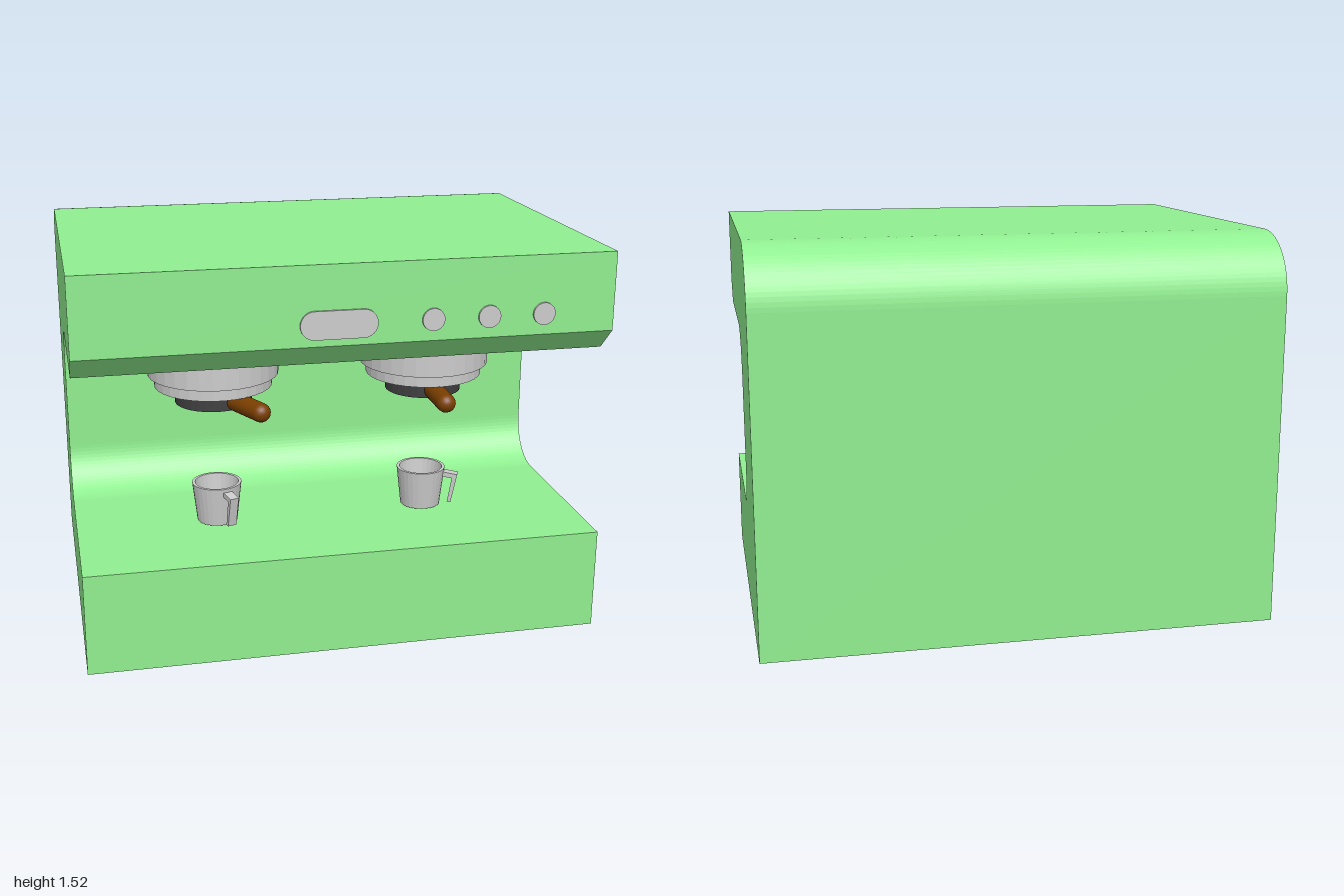
import * as THREE from 'three';

const mat = (color, extra = {}) => new THREE.MeshStandardMaterial({ color, ...extra });
const green = mat(0x90ee90);
const grey = mat(0xcccccc);
const greyFlat = mat(0xcccccc, { flatShading: true });
const dark = mat(0x404040, { flatShading: true });
const wood = mat(0x7b3f00);

function add(parent, name, geometry, material, x = 0, y = 0, z = 0) {
  const mesh = new THREE.Mesh(geometry, material);
  mesh.name = name;
  mesh.position.set(x, y, z);
  parent.add(mesh);
  return mesh;
}

// C-shaped side profile (z, y) extruded across the full width
function bodyGeometry() {
  const s = new THREE.Shape();
  s.moveTo(0.755, 0);
  s.lineTo(0.755, 0.4);
  s.lineTo(0.02, 0.4);
  s.absarc(0.02, 0.58, 0.18, -Math.PI / 2, -Math.PI, true);
  s.lineTo(-0.16, 0.95);
  s.absarc(0.02, 0.95, 0.18, Math.PI, Math.PI / 2, true);
  s.lineTo(0.66, 1.13);
  s.lineTo(0.755, 1.22);
  s.lineTo(0.755, 1.52);
  s.lineTo(-0.53, 1.52);
  s.absarc(-0.53, 1.29, 0.23, Math.PI / 2, Math.PI, false);
  s.lineTo(-0.76, 0);
  s.closePath();
  const g = new THREE.ExtrudeGeometry(s, { depth: 2, bevelEnabled: false, curveSegments: 10 });
  return g.rotateY(-Math.PI / 2).translate(1, 0, 0);
}

// Pill outline; a zero half length gives a round button
function buttonGeometry(halfLength, r) {
  const s = new THREE.Shape();
  s.absarc(halfLength, 0, r, -Math.PI / 2, Math.PI / 2, false);
  s.absarc(-halfLength, 0, r, Math.PI / 2, Math.PI * 1.5, false);
  return new THREE.ExtrudeGeometry(s, { depth: 0.02, bevelEnabled: false, curveSegments: 16 });
}

// Brew head with a filter holder whose handle swings by the given angle
function brewHead(name, x, angle) {
  const g = new THREE.Group();
  g.name = name;
  g.position.set(x, 0, 0.325);
  g.rotation.y = angle;
  add(g, 'headCollar', new THREE.CylinderGeometry(0.253, 0.253, 0.11, 32), greyFlat, 0, 1.075, 0);
  add(g, 'headRing', new THREE.CylinderGeometry(0.228, 0.228, 0.05, 32), greyFlat, 0, 0.998, 0);
  add(g, 'filterHolder', new THREE.CylinderGeometry(0.15, 0.15, 0.07, 32), dark, 0, 0.94, 0);
  const grip = new THREE.CapsuleGeometry(0.037, 0.16, 6, 16).rotateX(Math.PI / 2);
  add(g, 'filterHandle', grip, wood, 0, 0.938, 0.237);
  return g;
}

// Hollow tapered cup on a small foot, with a bent strip handle towards +z
function cup(name, x, angle) {
  const g = new THREE.Group();
  g.name = name;
  g.position.set(x, 0.4, 0.333);
  g.rotation.y = angle;
  const wall = [[0, 0.01], [0.08, 0.01], [0.098, 0.168], [0.086, 0.168], [0.07, 0.03], [0, 0.03]]
    .map(([r, y]) => new THREE.Vector2(r, y));
  add(g, 'cupBowl', new THREE.LatheGeometry(wall, 28),
    mat(0xcccccc, { flatShading: true, side: THREE.DoubleSide }));
  add(g, 'cupFoot', new THREE.CylinderGeometry(0.05, 0.05, 0.014, 24), grey, 0, 0.006, 0);
  const strip = new THREE.Shape();
  [[0.086, 0.135], [0.13, 0.128], [0.113, 0.024], [0.128, 0.024], [0.152, 0.145], [0.09, 0.154]]
    .forEach(([r, y], i) => (i ? strip.lineTo(r, y) : strip.moveTo(r, y)));
  strip.closePath();
  const handle = new THREE.ExtrudeGeometry(strip, { depth: 0.036, bevelEnabled: false });
  add(g, 'cupHandle', handle.rotateY(-Math.PI / 2).translate(0.018, 0, 0), grey);
  return g;
}

export function createModel() {
  const model = new THREE.Group();
  model.name = 'espressoMachine';
  add(model, 'body', bodyGeometry(), green);

  // Front controls
  add(model, 'powerSwitch', buttonGeometry(0.09, 0.053), grey, -0.047, 1.3, 0.744);
  for (const x of [0.303, 0.515, 0.725]) {
    add(model, 'roundButton', buttonGeometry(0, 0.042), grey, x, 1.3, 0.744);
  }

  // Brew stations
  model.add(brewHead('rightBrewHead', -0.447, 0.45), brewHead('leftBrewHead', 0.397, 0));
  model.add(cup('rightCup', -0.443, 0.33), cup('leftCup', 0.397, 1.18));
  return model;
}
